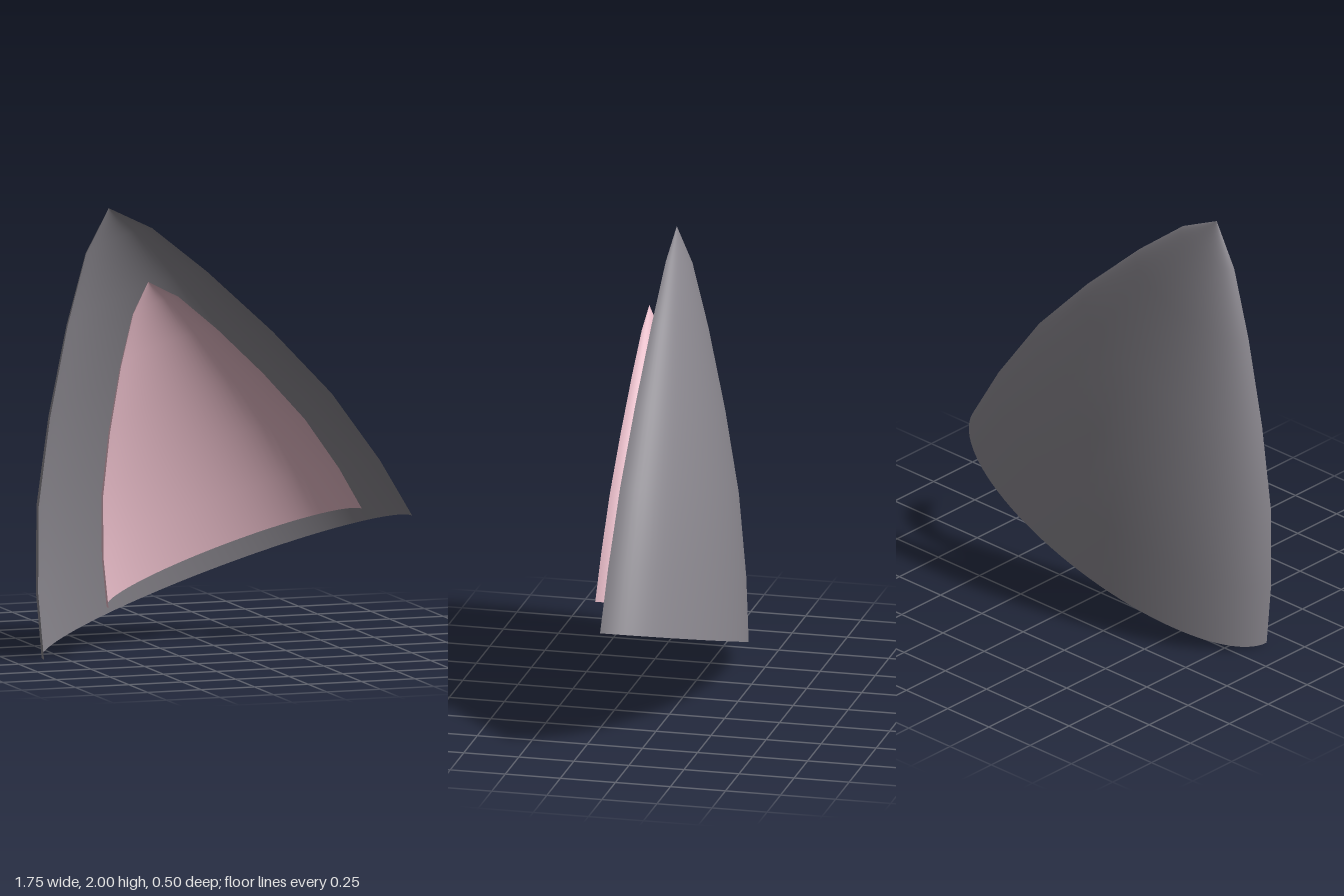
import * as THREE from 'three';

// Bulging cone profile: [radius, height], both as fractions of full size
const PROFILE = [[1, 0], [0.928, 0.16], [0.797, 0.36], [0.605, 0.56], [0.38, 0.76], [0.18, 0.913], [0, 1]]
  .map(([r, h]) => new THREE.Vector2(r, h));

// Open half shell, hollow side facing the front, flattened in depth and leaning to one side
function halfShell(name, color, radius, height, depth, position) {
  const geometry = new THREE.LatheGeometry(PROFILE, 48, Math.PI / 2, Math.PI);
  const material = new THREE.MeshStandardMaterial({ color, side: THREE.DoubleSide });
  const mesh = new THREE.Mesh(geometry, material);
  mesh.name = name;
  mesh.scale.set(radius, height, depth);
  mesh.rotation.z = 0.314;
  mesh.position.set(...position);
  return mesh;
}

export function createModel() {
  const ear = new THREE.Group();
  ear.name = 'ear';
  ear.add(
    halfShell('outerEar', 0x87848b, 0.905, 1.807, 0.413, [0.01, 0.28, 0.163]),
    halfShell('innerEar', 0xe6bac6, 0.623, 1.317, 0.305, [0.0125, 0.4225, 0.25])
  );
  return ear;
}
